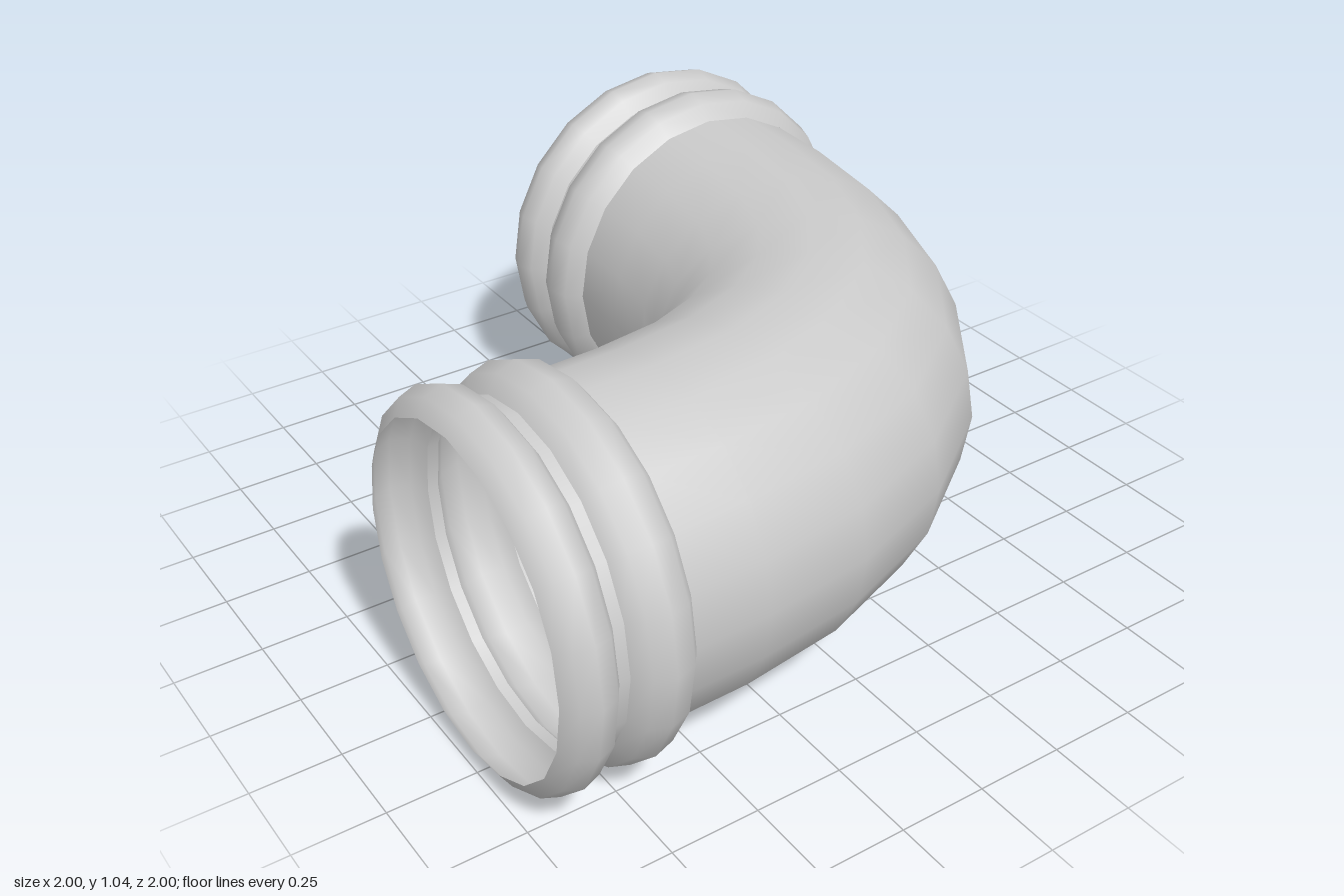
import * as THREE from 'three';

const SIDES = 20;
const MID_Y = 0.52;   // height of the pipe axis
const AXIS = 0.477;   // offset of each straight end from the centre
const R = 0.46;

const material = new THREE.MeshStandardMaterial({ color: 0xcccccc, side: THREE.DoubleSide });

// Bent pipe: each station is the outer and inner wall point [x, z] of one ring.
function bendGeometry() {
  const half = [
    [-0.64, 0.936, -0.64, 0.018],
    [-0.42, 0.93, -0.45, 0.01],
    [-0.1, 0.885, -0.28, 0.015 - 0.03],
    [0.235, 0.76, -0.17, -0.06],
  ];
  const mirrored = half.map(([ox, oz, ix, iz]) => [oz, ox, iz, ix]).reverse();
  const stations = [...half, [0.54, 0.54, -0.105, -0.105], ...mirrored];

  const positions = [];
  const index = [];
  stations.forEach(([ox, oz, ix, iz], i) => {
    for (let j = 0; j < SIDES; j++) {
      const a = (j / SIDES) * Math.PI * 2;
      const c = Math.cos(a) / 2;
      positions.push(
        (ox + ix) / 2 + (ox - ix) * c,
        MID_Y + R * Math.sin(a),
        (oz + iz) / 2 + (oz - iz) * c
      );
      if (i < stations.length - 1) {
        const k = (j + 1) % SIDES;
        const p = i * SIDES, q = p + SIDES;
        index.push(p + j, q + j, p + k, p + k, q + j, q + k);
      }
    }
  });
  const geometry = new THREE.BufferGeometry();
  geometry.setAttribute('position', new THREE.Float32BufferAttribute(positions, 3));
  geometry.setIndex(index);
  geometry.computeVertexNormals();
  return geometry;
}

// Surface of revolution from [radius, distance along the axis] pairs.
function revolve(name, profile) {
  const points = profile.map(([r, y]) => new THREE.Vector2(r, y));
  const mesh = new THREE.Mesh(new THREE.LatheGeometry(points, SIDES), material);
  mesh.name = name;
  return mesh;
}

// Rounded bead between two distances along the axis.
function bead(name, from, to) {
  const shape = [[R, 0], [0.503, 0.18], [0.52, 0.5], [0.503, 0.82], [R, 1]];
  return revolve(name, shape.map(([r, t]) => [r, from + (to - from) * t]));
}

// Socket collar: two beads joined by a narrow groove.
function collar(name) {
  const group = new THREE.Group();
  group.name = name;
  group.add(
    bead('innerBead', 0.637, 0.815),
    revolve('groove', [[R, 0.815], [R, 0.845]]),
    bead('rimBead', 0.845, 1)
  );
  return group;
}

export function createModel() {
  const model = new THREE.Group();
  model.name = 'pipeElbow';

  const pipe = new THREE.Mesh(bendGeometry(), material);
  pipe.name = 'bentPipe';

  // One collar opens to the right (-x), the other to the back (-z).
  const rightCollar = collar('rightCollar');
  rightCollar.rotation.z = Math.PI / 2;
  rightCollar.position.set(0, MID_Y, AXIS);

  const backCollar = collar('backCollar');
  backCollar.rotation.x = -Math.PI / 2;
  backCollar.position.set(AXIS, MID_Y, 0);

  model.add(pipe, rightCollar, backCollar);
  return model;
}
